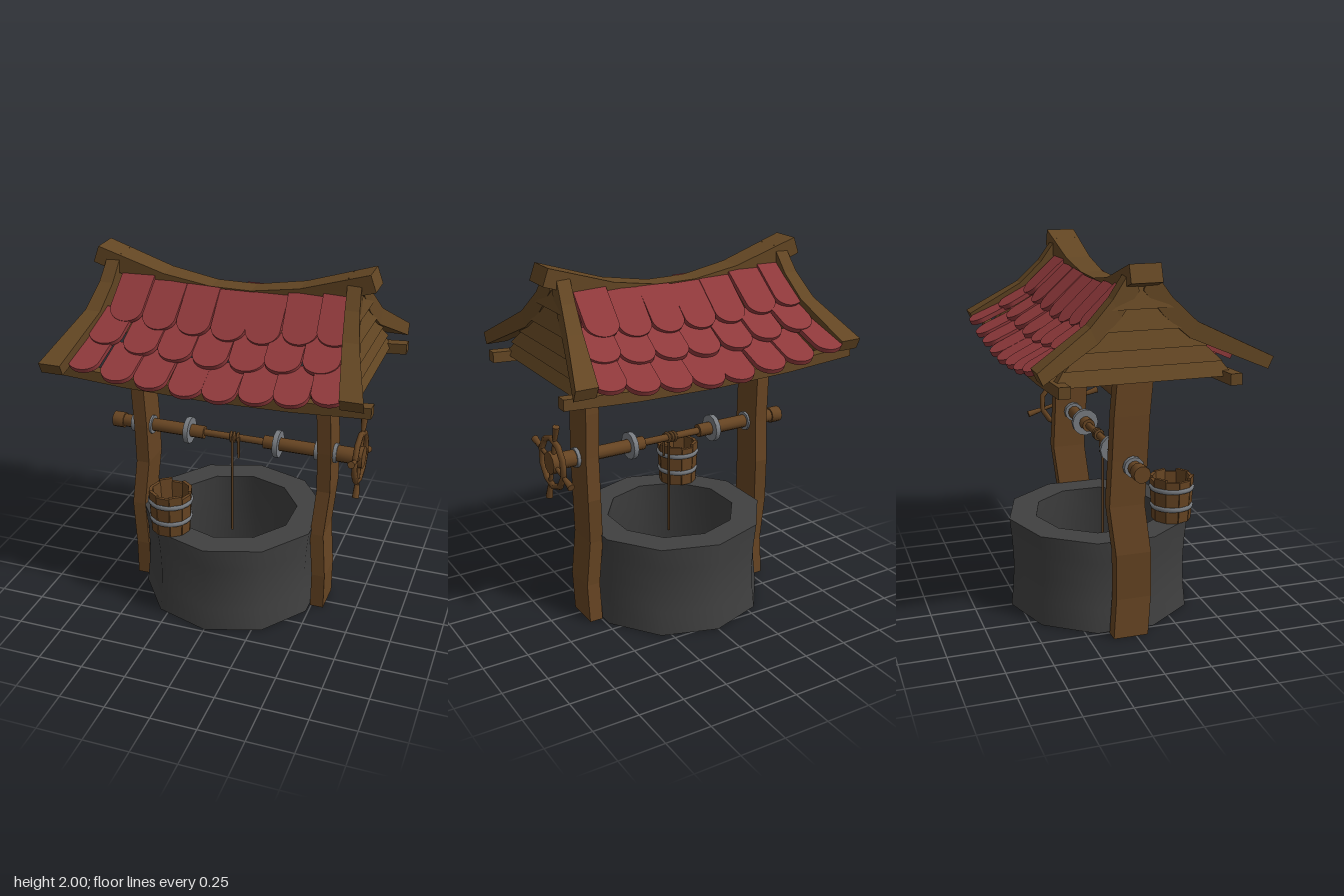
import * as THREE from 'three';
import { toCreasedNormals } from 'three/addons/utils/BufferGeometryUtils.js';

const paint = (name, color, extra = {}) => {
  const m = new THREE.MeshStandardMaterial({ color, ...extra });
  m.name = name;
  return m;
};
const V = (x, y, z) => new THREE.Vector3(x, y, z);

// Flat-shaded solid through a row of four-cornered cross-sections, capped at both ends
function loft(sections) {
  const tris = [];
  const quad = (a, b, c, d) => tris.push([a, b, c], [a, c, d]);
  for (let i = 0; i < sections.length - 1; i++) {
    const s = sections[i], t = sections[i + 1];
    for (let k = 0; k < 4; k++) quad(s[k], s[(k + 1) % 4], t[(k + 1) % 4], t[k]);
  }
  const s = sections[0], e = sections[sections.length - 1];
  quad(s[3], s[2], s[1], s[0]);
  quad(e[0], e[1], e[2], e[3]);
  // Turn the solid right side out whichever way the sections run
  const volume = tris.reduce((sum, [a, b, c]) => sum + a.dot(b.clone().cross(c)), 0);
  const pts = tris.flatMap(([a, b, c]) => (volume < 0 ? [a, c, b] : [a, b, c]));
  const g = new THREE.BufferGeometry().setFromPoints(pts);
  g.computeVertexNormals();
  return g;
}

export function createModel() {
  const wood = paint('roof wood', 0x634623);
  const postWood = paint('post wood', 0x664422);
  const tileRed = paint('roof tile red', 0x8f393b);
  const stone = paint('well stone', 0x404040);
  const metal = paint('metal', 0x777b80);
  const water = paint('dark water', 0x050545, { side: THREE.DoubleSide });
  const rope = paint('rope', 0x604223);

  const root = new THREE.Group();
  root.name = 'well';
  const model = new THREE.Group();
  model.name = 'wellParts';
  model.position.z = -0.03;
  root.add(model);

  const add = (name, geo, mat, parent = model) => {
    const m = new THREE.Mesh(geo, mat);
    m.name = name;
    parent.add(m);
    return m;
  };
  // Round bar along x
  const bar = (name, x0, x1, r, y, mat, sides = 10) => {
    const g = new THREE.CylinderGeometry(r, r, x1 - x0, sides).rotateZ(Math.PI / 2);
    return add(name, toCreasedNormals(g, 0.9).translate((x0 + x1) / 2, y, 0), mat);
  };

  // Ten-sided stone wall with a waist, and the water
  const wall = [[0.45, 0], [0.513, 0], [0.499, 0.13], [0.494, 0.26], [0.5, 0.39], [0.513, 0.515],
    [0.36, 0.515], [0.385, 0.3], [0.45, 0]].map(([r, y]) => new THREE.Vector2(r, y));
  add('stoneWall', toCreasedNormals(new THREE.LatheGeometry(wall, 10), 0.7), stone);
  add('water', new THREE.CircleGeometry(0.445, 10, Math.PI / 2).rotateX(-Math.PI / 2).translate(0, 0.015, 0), water);

  // Crooked posts: y, left-right shift, front-back shift
  const bends = [[0, 0, 0], [0.22, 0.005, 0.015], [0.48, -0.015, 0.005], [0.74, 0.005, -0.025],
    [0.98, 0.005, -0.012], [1.22, -0.005, -0.005], [1.49, -0.005, 0.018]];
  for (const [name, x] of [['rightPost', -0.537], ['leftPost', 0.532]]) {
    add(name, loft(bends.map(([y, dx, dz]) => [[-1, -1], [1, -1], [1, 1], [-1, 1]]
      .map(([u, v]) => V(x + dx + u * 0.038, y, dz + v * 0.095)))), postWood);
  }

  // Cross log under the roof
  const log = [[0, -0.51], [0.058, -0.51], [0.05, 0], [0.058, 0.51], [0, 0.51]].map(([r, y]) => new THREE.Vector2(r, y));
  add('crossLog', toCreasedNormals(new THREE.LatheGeometry(log, 10), 0.9).rotateZ(Math.PI / 2).translate(0, 1.307, 0), postWood);

  // Axle with metal collars
  const axleY = 0.955;
  for (const [x0, x1, r] of [[-0.725, -0.66, 0.045], [-0.66, -0.175, 0.037], [-0.175, 0.175, 0.02],
    [0.175, 0.56, 0.037], [0.56, 0.7, 0.046]]) bar('axle', x0, x1, r, axleY, postWood);
  for (const x of [-0.592, -0.497, 0.484, 0.58]) bar('postCollar', x - 0.014, x + 0.014, 0.054, axleY, metal, 12);
  for (const x of [-0.268, 0.254]) bar('axleRing', x - 0.014, x + 0.014, 0.076, axleY, metal, 12);

  // Hand wheel
  bar('wheelHub', 0.695, 0.737, 0.062, axleY, postWood);
  const wheel = new THREE.Group();
  wheel.name = 'handWheel';
  wheel.position.set(0.716, axleY, 0);
  wheel.rotation.x = -0.27;
  model.add(wheel);
  add('wheelRim', new THREE.TorusGeometry(0.136, 0.017, 6, 10).rotateY(Math.PI / 2), postWood, wheel);
  for (let i = 0; i < 4; i++) {
    const a = (i * Math.PI) / 2;
    add('spoke', new THREE.CylinderGeometry(0.012, 0.012, 0.17, 6).translate(0, 0.085, 0).rotateX(a), postWood, wheel);
    add('handle', new THREE.CylinderGeometry(0.02, 0.014, 0.075, 8).translate(0, 0.19, 0).rotateX(a), postWood, wheel);
  }

  // Rope: coils, long drop and loose end
  for (const x of [-0.018, 0, 0.022]) {
    add('ropeCoil', new THREE.TorusGeometry(0.025, 0.008, 6, 12).rotateY(Math.PI / 2 + 0.2).translate(x, axleY, 0), rope);
  }
  add('ropeDrop', new THREE.CylinderGeometry(0.007, 0.007, 0.6, 6).translate(-0.003, 0.67, 0.025), rope);
  add('ropeEnd', new THREE.CylinderGeometry(0.008, 0.007, 0.13, 6).translate(0.032, 0.905, 0.022), rope);

  // Bucket on the rim
  const bucket = new THREE.Group();
  bucket.name = 'bucket';
  bucket.position.set(-0.25, 0.518, 0.342);
  model.add(bucket);
  for (let i = 0; i < 10; i++) {
    const h = 0.24 + 0.01 * Math.sin(i * 2.3);
    const stave = loft([[0, 0.104, 0.031], [h, 0.116, 0.036]].map(([y, r, w]) =>
      [V(-w, y, r - 0.018), V(w, y, r - 0.018), V(w, y, r), V(-w, y, r)]));
    add('stave', stave.rotateY((i * Math.PI) / 5), postWood, bucket);
  }
  add('bucketFloor', new THREE.CylinderGeometry(0.095, 0.095, 0.02, 10).translate(0, 0.015, 0), postWood, bucket);
  for (const [y, r] of [[0.08, 0.111], [0.185, 0.117]]) {
    add('hoop', new THREE.TorusGeometry(r, 0.009, 6, 20).scale(1, 1, 1.6).rotateX(Math.PI / 2).translate(0, y, 0), metal, bucket);
  }

  // Sagging ridge beam: top x, top y, bottom x, bottom y, half depth
  const half = [[0.733, 2, 0.765, 1.912, 0.08], [0.37, 1.885, 0.39, 1.79, 0.069], [0.11, 1.842, 0.115, 1.745, 0.061]];
  const ridge = [...half.map(([a, b, c, d, e]) => [-a, b, -c, d, e]), ...half.slice().reverse()];
  add('ridgeBeam', loft(ridge.map(([tx, ty, bx, by, d]) =>
    [V(tx, ty, -d), V(tx, ty, d), V(bx, by, d), V(bx, by, -d)])), wood);

  // Eave beams
  for (const z of [-0.43, 0.43]) {
    add('eaveBeam', loft([-0.853, -0.45, 0, 0.45, 0.853].map((x) => {
      const y = 1.404 + 0.048 * x * x;
      return [V(x, y - 0.029, z - 0.03), V(x, y - 0.029, z + 0.03), V(x, y + 0.029, z + 0.03), V(x, y + 0.029, z - 0.03)];
    })), wood);
  }

  // Clapboard gables: edge height and half depth of each board
  const boards = [[1.435, 0.455], [1.51, 0.4], [1.59, 0.32], [1.68, 0.235], [1.78, 0.155], [1.9, 0.08]];
  for (const side of [-1, 1]) {
    for (let i = 0; i < boards.length - 1; i++) {
      const edge = ([y, d], out) => {
        const x = 0.715 - (y - 1.435) * 0.15;
        return [V(side * (x - 0.02), y, -d), V(side * (x + out), y, -d), V(side * (x + out), y, d), V(side * (x - 0.02), y, d)];
      };
      add('gableBoard', loft([edge(boards[i], 0.045), edge(boards[i + 1], 0.02)]), wood);
    }
    // Bargeboards flaring out towards the eaves: z, top y, x, half width, thickness
    for (const [face, reach] of [[1, side < 0 ? 0.63 : 0.565], [-1, 0.555]]) {
      add('bargeboard', loft([[0.055, 1.965, 0.65, 0.036, 0.1], [0.15, 1.83, 0.665, 0.038, 0.09],
        [0.27, 1.71, 0.692, 0.043, 0.08], [reach, 1.535, 0.775, 0.06, 0.06]].map(([z, y, x, w, t]) =>
        [[-w, 0], [w, 0], [w, 1], [-w, 1]].map(([u, k]) =>
          V(side * (x + u), y - k * t, face * (z - k * t * 0.45))))), wood);
    }
  }

  // Round-ended tiles: top z and y, bottom z and y, first x, spacing, count, sag
  const rows = [[0.05, 1.82, 0.26, 1.625, -0.51, 0.183, 7, 0.13], [0.19, 1.645, 0.4, 1.525, -0.57, 0.187, 7, 0.15],
    [0.33, 1.53, 0.565, 1.42, -0.62, 0.179, 8, 0.17]];
  for (const face of [0, 1]) {
    const slope = new THREE.Group();
    slope.name = face ? 'backTiles' : 'frontTiles';
    slope.rotation.y = face * Math.PI;
    model.add(slope);
    for (const [z0, y0, z1, y1, first, step, count, sag] of rows) {
      const len = Math.hypot(z1 - z0, y1 - y0), pitch = Math.atan2(y0 - y1, z1 - z0);
      const w = step / 2, s = new THREE.Shape();
      s.moveTo(w, 0);
      s.lineTo(-w, 0);
      s.lineTo(-w, w * 0.85 - len);
      s.absellipse(0, w * 0.85 - len, w, w * 0.85, Math.PI, Math.PI * 2, false, 0);
      const geo = new THREE.ExtrudeGeometry(s, { depth: 0.026, bevelEnabled: false, curveSegments: 10 });
      for (let i = 0; i < count; i++) {
        const x = first + i * step;
        const tile = add('roofTile', geo, tileRed, slope);
        tile.position.set(x, y0 + sag * x * x + 0.004 * Math.sin(i * 4.1), z0);
        tile.rotation.set(pitch - Math.PI / 2, 0, sag * x + 0.02 * Math.sin(i * 2.7 + z0 * 20));
      }
    }
  }
  return root;
}
